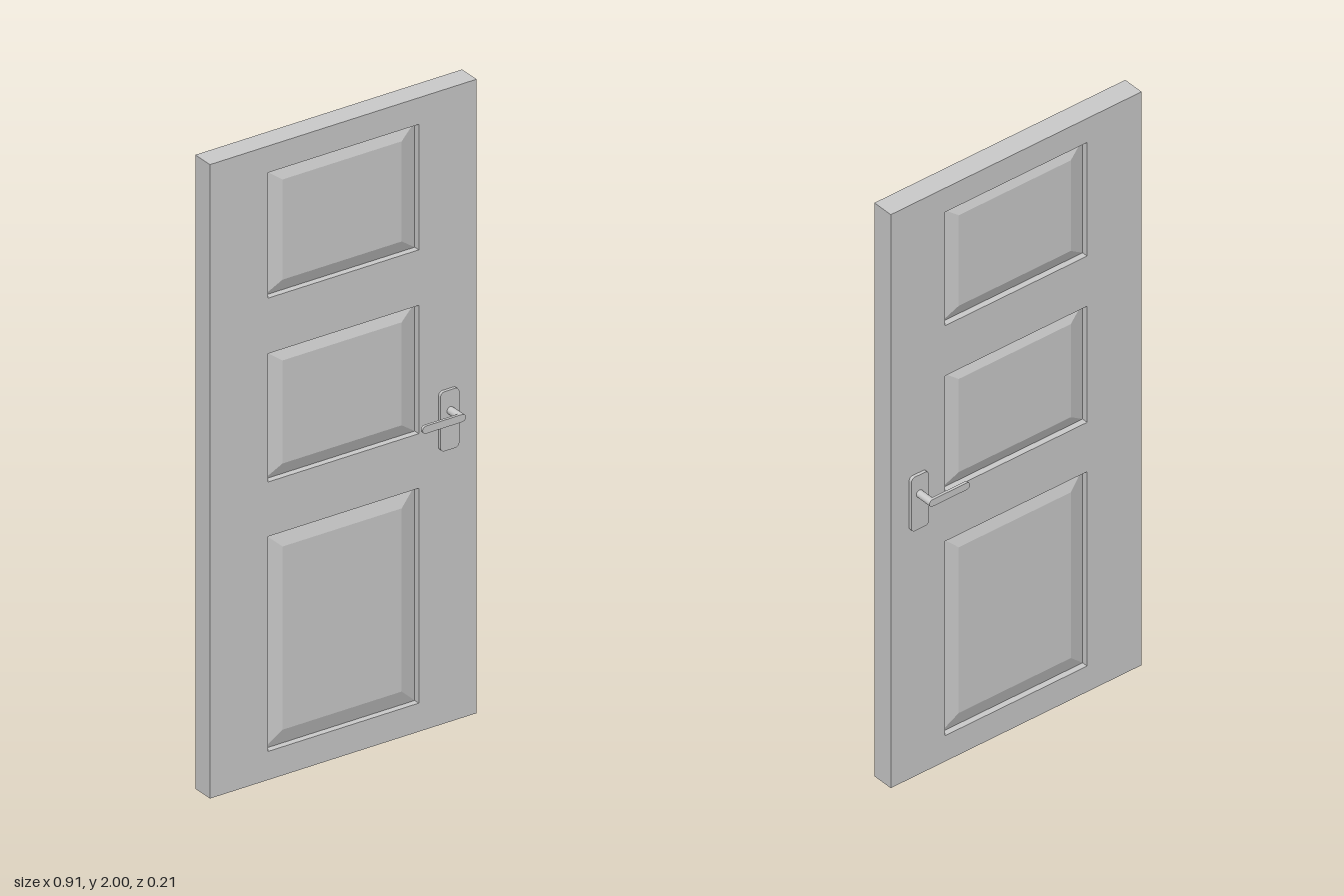
import * as THREE from 'three';

const material = new THREE.MeshStandardMaterial({ color: 0xcccccc });
const HALF = 0.036; // half the door thickness

function addMesh(parent, name, geometry) {
  const mesh = new THREE.Mesh(geometry, material);
  mesh.name = name;
  parent.add(mesh);
  return mesh;
}

// Rounded rectangle outline
function roundedRect(x0, y0, x1, y1, r) {
  const s = new THREE.Shape();
  s.absarc(x1 - r, y0 + r, r, -Math.PI / 2, 0);
  s.absarc(x1 - r, y1 - r, r, 0, Math.PI / 2);
  s.absarc(x0 + r, y1 - r, r, Math.PI / 2, Math.PI);
  s.absarc(x0 + r, y0 + r, r, Math.PI, Math.PI * 1.5);
  s.closePath();
  return s;
}

function rectPath(target, x0, y0, x1, y1) {
  return target.moveTo(x0, y0).lineTo(x1, y0).lineTo(x1, y1).lineTo(x0, y1).closePath();
}

// Raised panel: recessed rim, bevelled up to a flat field on both sides
function raisedPanel(w, h, insetX, insetY) {
  const rim = 0.016, field = 0.03;
  const geo = new THREE.BoxGeometry(w, h, 2, 1, 1, 3).toNonIndexed();
  const p = geo.attributes.position;
  for (let i = 0; i < p.count; i++) {
    const x = p.getX(i), y = p.getY(i), z = p.getZ(i);
    if (Math.abs(z) > 0.9) {
      p.setXYZ(i, x - Math.sign(x) * insetX, y - Math.sign(y) * insetY, Math.sign(z) * field);
    } else {
      p.setZ(i, Math.sign(z) * rim);
    }
  }
  geo.computeVertexNormals();
  return geo;
}

// Door handle on the front face
function makeHandle(name) {
  const handle = new THREE.Group();
  handle.name = name;
  const extrude = (shape, depth) =>
    new THREE.ExtrudeGeometry(shape, { depth, bevelEnabled: false, curveSegments: 8 });

  // Back plate
  addMesh(handle, 'backPlate', extrude(roundedRect(0.324, 0.865, 0.388, 1.053, 0.014), 0.012))
    .position.z = HALF - 0.002;

  // Neck
  const neck = addMesh(handle, 'neck', new THREE.CylinderGeometry(0.012, 0.012, 0.06, 24));
  neck.rotation.x = Math.PI / 2;
  neck.position.set(0.358, 0.988, 0.07);

  // Lever
  addMesh(handle, 'lever', extrude(roundedRect(0.223, 0.976, 0.37, 1.0, 0.0119), 0.009))
    .position.z = 0.095;
  return handle;
}

export function createModel() {
  const door = new THREE.Group();
  door.name = 'door';

  // Panel openings: bottom, top, bevel width across, bevel width up
  const panelHalf = 0.257;
  const panels = [
    ['topPanel', 1.52, 1.916, 0.054, 0.04],
    ['middlePanel', 0.94, 1.345, 0.054, 0.04],
    ['bottomPanel', 0.09, 0.768, 0.054, 0.05],
  ];

  // Frame of stiles and rails, with the openings cut out
  const outline = rectPath(new THREE.Shape(), -0.454, 0, 0.454, 2);
  for (const [, y0, y1] of panels) {
    outline.holes.push(rectPath(new THREE.Path(), -panelHalf, y0, panelHalf, y1));
  }
  addMesh(door, 'frame', new THREE.ExtrudeGeometry(outline, { depth: HALF * 2, bevelEnabled: false }))
    .position.z = -HALF;

  // Raised panels
  for (const [name, y0, y1, ix, iy] of panels) {
    addMesh(door, name, raisedPanel(panelHalf * 2, y1 - y0, ix, iy))
      .position.y = (y0 + y1) / 2;
  }

  // Handles on both faces; the back one is turned over about the lever axis
  door.add(makeHandle('frontHandle'));
  const back = makeHandle('backHandle');
  back.scale.z = -1;
  door.add(back);

  return door;
}
